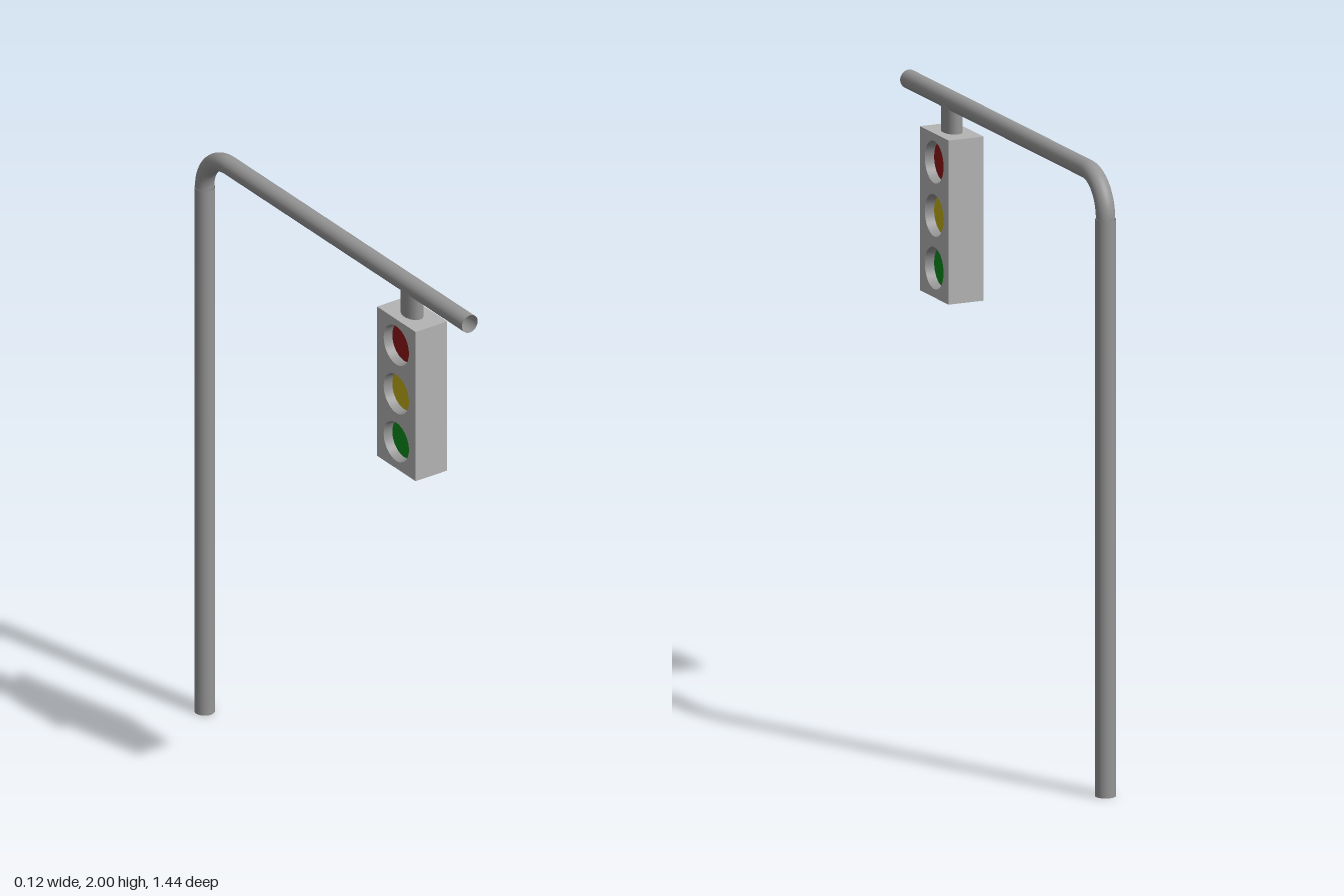
import * as THREE from 'three';

export function createModel() {
  const model = new THREE.Group();
  const steel = new THREE.MeshStandardMaterial({ color: 0x959595, side: THREE.DoubleSide });
  const shell = new THREE.MeshStandardMaterial({ color: 0xb4b4b4 });

  const add = (name, geometry, material, parent = model) => {
    const mesh = new THREE.Mesh(geometry, material);
    mesh.name = name;
    parent.add(mesh);
    return mesh;
  };

  // Hollow pole, quarter bend and overhanging arm
  const R = 0.03, poleR = 0.032, poleZ = -0.69, armY = 1.97, bend = 0.13, endZ = 0.72;
  const bendY = armY - bend, bendZ = poleZ + bend;

  add('pole', new THREE.CylinderGeometry(poleR, poleR, bendY, 32, 1, true), steel)
    .position.set(0, bendY / 2, poleZ);

  const elbow = add('elbow', new THREE.TorusGeometry(bend, R, 32, 16, Math.PI / 2), steel);
  elbow.rotation.y = Math.PI / 2;
  elbow.position.set(0, bendY, bendZ);

  const arm = add('arm', new THREE.CylinderGeometry(R, R, endZ - bendZ, 32, 1, true), steel);
  arm.rotation.x = Math.PI / 2;
  arm.position.set(0, armY, (endZ + bendZ) / 2);

  // Signal head hanging from the arm by an oval stem
  const signal = new THREE.Group();
  signal.name = 'signalHead';
  signal.position.set(0, 1.61, 0.413);
  model.add(signal);

  const hanger = add('hanger', new THREE.CylinderGeometry(1, 1, 0.1, 32), steel, signal);
  hanger.scale.set(0.03, 1, 0.044);
  hanger.position.y = 0.305;

  // Housing with three round openings through both faces
  const W = 0.206, H = 0.523, D = 0.12, holeR = 0.067, lampR = 0.063, recess = 0.03;
  const lamps = [
    ['redLamp', 0.17, 0x901616],
    ['yellowLamp', 0, 0xc2ae18],
    ['greenLamp', -0.168, 0x0f8c1e],
  ];
  const outline = new THREE.Shape([
    new THREE.Vector2(-W / 2, -H / 2), new THREE.Vector2(W / 2, -H / 2),
    new THREE.Vector2(W / 2, H / 2), new THREE.Vector2(-W / 2, H / 2),
  ]);
  for (const [, y] of lamps) {
    outline.holes.push(new THREE.Path().absarc(0, y, holeR, 0, Math.PI * 2, true));
  }
  const housing = new THREE.ExtrudeGeometry(outline, { depth: D, bevelEnabled: false, curveSegments: 24 });
  housing.translate(0, 0, -D / 2).rotateY(Math.PI / 2);
  add('housing', housing, shell, signal);

  // Recessed lamps with tapered rims, showing on both sides
  for (const [name, y, color] of lamps) {
    const lamp = add(name, new THREE.CylinderGeometry(lampR, lampR, D - 2 * recess, 48),
      new THREE.MeshStandardMaterial({ color }), signal);
    lamp.rotation.z = Math.PI / 2;
    lamp.position.y = y;
    for (const side of [1, -1]) {
      const rim = add('lampRim', new THREE.CylinderGeometry(holeR, lampR, recess, 48, 1, true), steel, signal);
      rim.rotation.z = -side * Math.PI / 2;
      rim.position.set(side * (D - recess) / 2, y, 0);
    }
  }

  return model;
}
